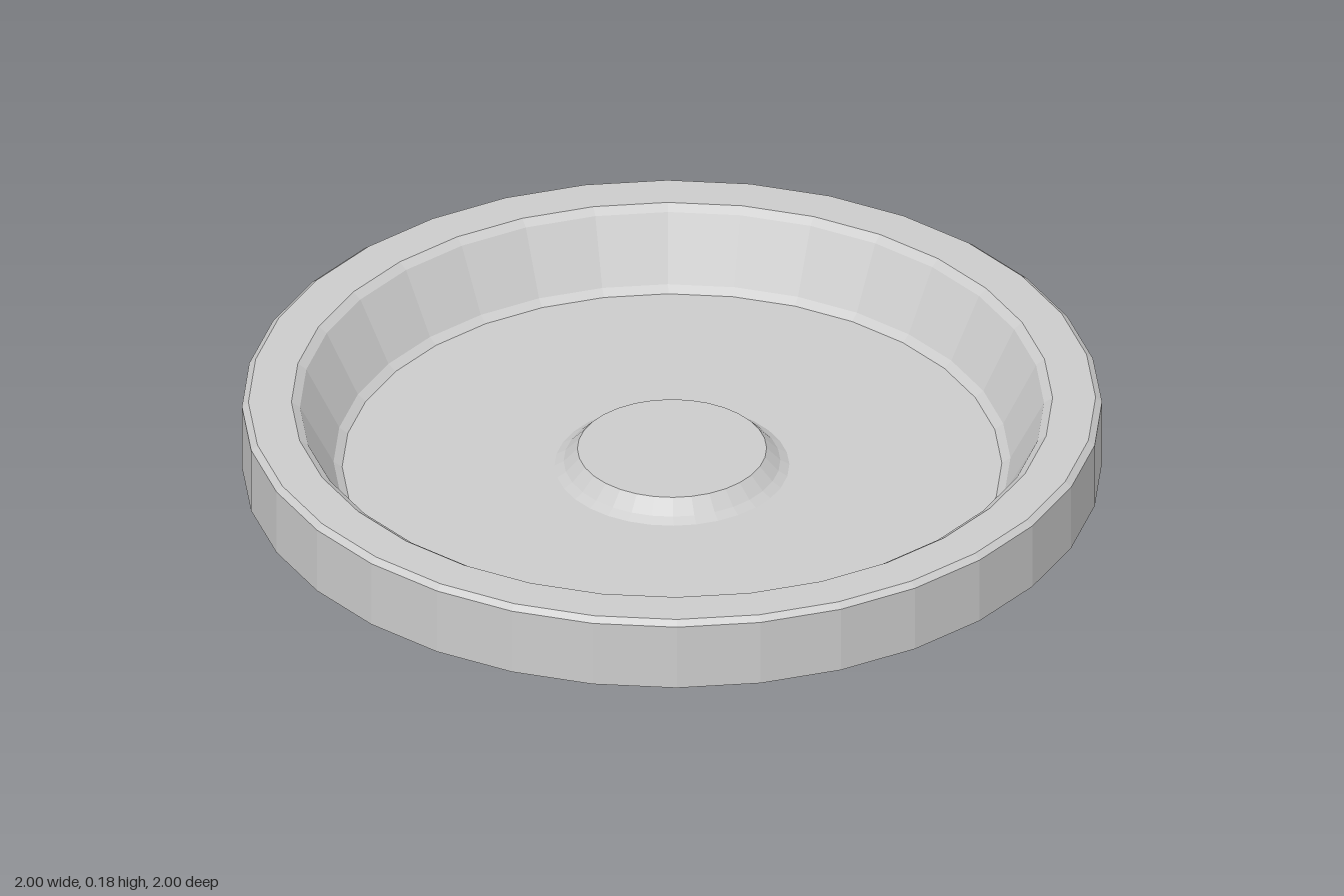
import * as THREE from 'three';

const SIDES = 32;

// Spins a list of [radius, height] pairs around the y axis.
function spin(name, profile, material) {
  const points = profile.map(([r, y]) => new THREE.Vector2(r, y));
  const mesh = new THREE.Mesh(new THREE.LatheGeometry(points, SIDES), material);
  mesh.name = name;
  return mesh;
}

export function createModel() {
  const model = new THREE.Group();
  model.name = 'shallowDish';
  // Thin shell, open underneath between the outer and inner walls
  const material = new THREE.MeshStandardMaterial({
    color: 0xcccccc, flatShading: true, side: THREE.DoubleSide,
  });

  // Upright outer wall with a small bevel at the top
  model.add(spin('outerWall', [[1, 0], [1, 0.165], [0.985, 0.177]], material));
  // Flat rim
  model.add(spin('rim', [[0.985, 0.177], [0.885, 0.177]], material));
  // Sloping inner wall, chamfered at both ends
  model.add(spin('innerWall', [[0.885, 0.177], [0.865, 0.163], [0.787, 0.014], [0.767, 0]], material));
  // Flat floor
  model.add(spin('floor', [[0.767, 0], [0.273, 0]], material));
  // Raised boss in the middle
  model.add(spin('centreBoss', [[0.273, 0], [0.252, 0.012], [0.22, 0.045], [0, 0.045]], material));

  return model;
}
